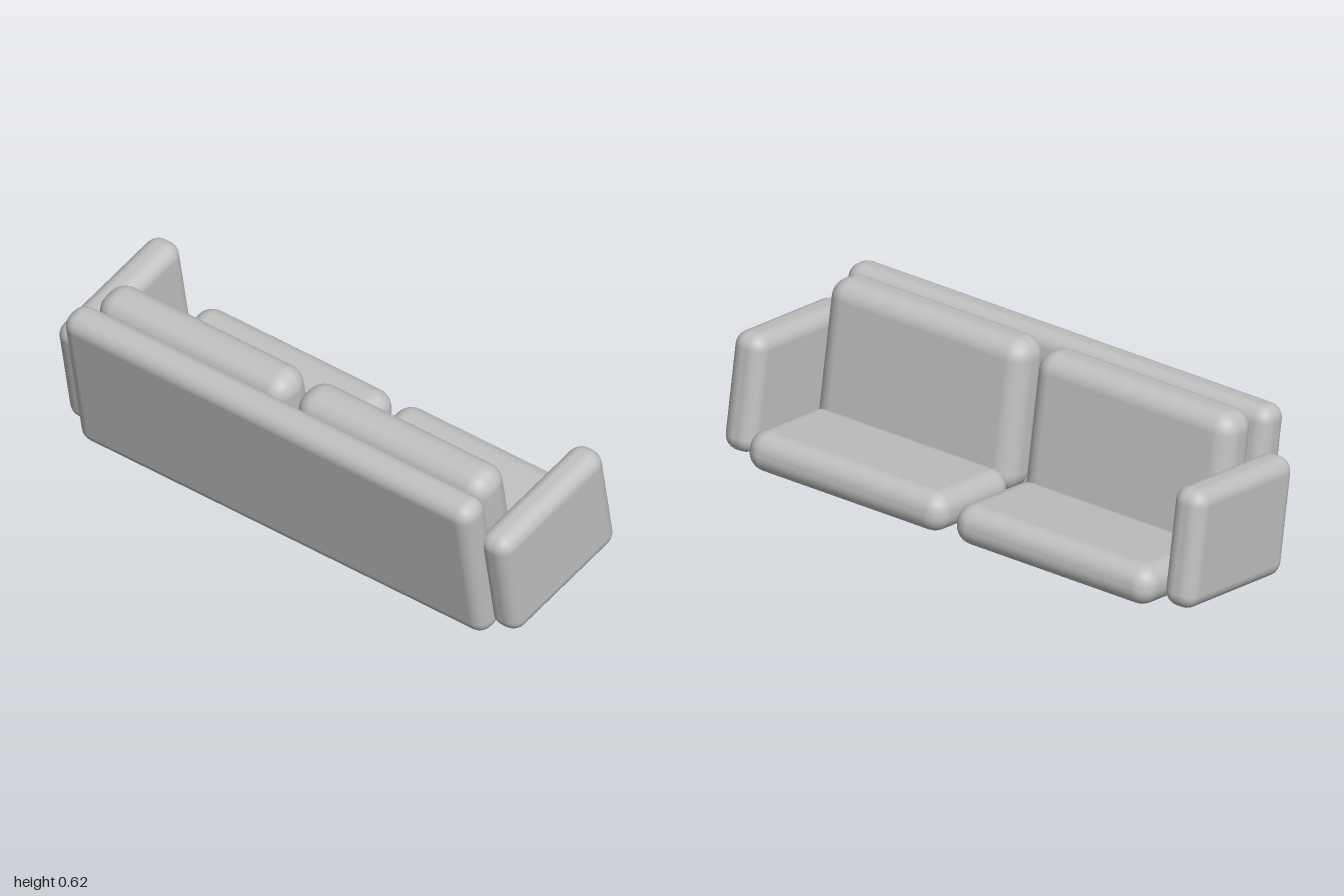
import * as THREE from 'three';
import { RoundedBoxGeometry } from 'three/addons/geometries/RoundedBoxGeometry.js';

const fabric = new THREE.MeshStandardMaterial({ color: 0xc0c0c0 });
fabric.name = 'grey fabric';

// Rounded pad given by its [min, max] range on each axis of the untilted sofa
function pad(name, [x0, x1], [y0, y1], [z0, z1], radius) {
  const geometry = new RoundedBoxGeometry(x1 - x0, y1 - y0, z1 - z0, 4, radius);
  const mesh = new THREE.Mesh(geometry, fabric);
  mesh.name = name;
  mesh.position.set((x0 + x1) / 2, (y0 + y1) / 2, (z0 + z1) / 2);
  return mesh;
}

export function createModel() {
  const model = new THREE.Group();
  model.name = 'sofa';

  // The whole sofa leans by ten degrees, with its backrest towards +z
  const body = new THREE.Group();
  body.name = 'tiltedBody';
  body.rotation.x = THREE.MathUtils.degToRad(10);
  model.add(body);

  body.add(pad('backrest', [-0.9, 0.9], [0.042, 0.644], [0.158, 0.288], 0.055));

  // Matching arm, seat cushion and back cushion on each side
  for (const [side, s] of [['left', 1], ['right', -1]]) {
    const span = (a, b) => (s > 0 ? [a, b] : [-b, -a]);
    body.add(
      pad(side + 'Arm', span(0.87, 1), [0.052, 0.492], [-0.345, 0.225], 0.055),
      pad(side + 'SeatCushion', span(0.02, 0.86), [0.033, 0.179], [-0.407, 0.03], 0.068),
      pad(side + 'BackCushion', span(0.02, 0.86), [0.08, 0.643], [-0.006, 0.165], 0.073)
    );
  }
  return model;
}
